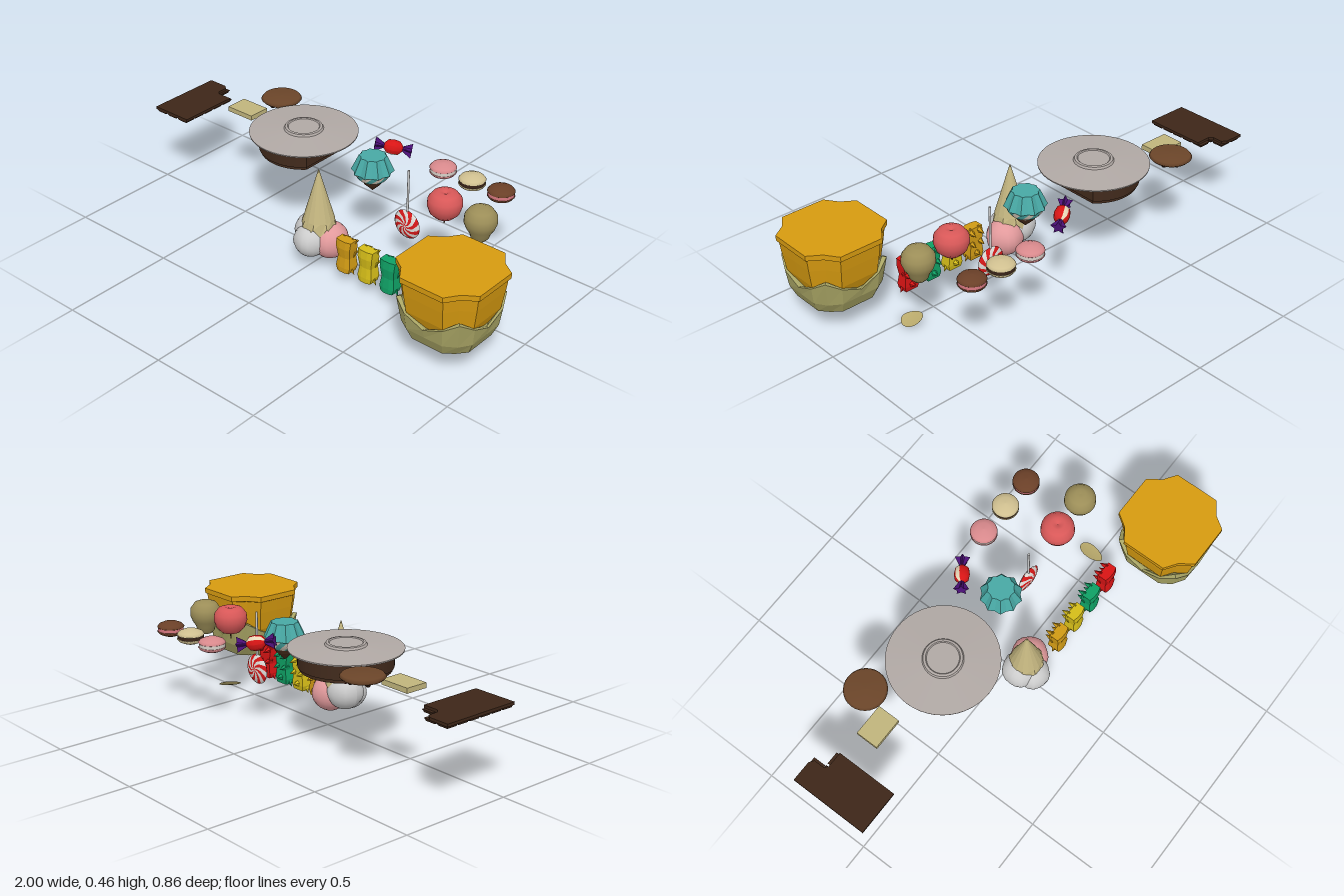
import * as THREE from 'three';

const V2 = (p) => p.map(([x, y]) => new THREE.Vector2(x, y));

function mesh(parent, name, geometry, color, pos = [0, 0, 0], flat = false, double = false) {
  const m = new THREE.Mesh(geometry, new THREE.MeshStandardMaterial({
    color, flatShading: flat, side: double ? THREE.DoubleSide : THREE.FrontSide }));
  m.name = name;
  m.position.set(...pos);
  parent.add(m);
  return m;
}

function group(parent, name, pos) {
  const g = new THREE.Group();
  g.name = name;
  g.position.set(...pos);
  parent.add(g);
  return g;
}

// Closed skin over rings of [x, y, z] points, listed from the bottom up
function loft(rings) {
  const n = rings[0].length, pos = [], index = [];
  rings.forEach((r) => r.forEach((p) => pos.push(...p)));
  for (let i = 0; i < rings.length - 1; i++) for (let j = 0; j < n; j++) {
    const a = i * n + j, b = i * n + (j + 1) % n;
    index.push(a, a + n, b, b, a + n, b + n);
  }
  for (const [k, up] of [[0, false], [rings.length - 1, true]]) {
    const c = pos.length / 3;
    pos.push(...[0, 1, 2].map((d) => rings[k].reduce((s, p) => s + p[d], 0) / n));
    for (let j = 0; j < n; j++) {
      const a = k * n + j, b = k * n + (j + 1) % n;
      index.push(c, up ? b : a, up ? a : b);
    }
  }
  const g = new THREE.BufferGeometry();
  g.setAttribute('position', new THREE.Float32BufferAttribute(pos, 3));
  g.setIndex(index);
  g.computeVertexNormals();
  return g;
}

const ring = (n, radius, y) => Array.from({ length: n }, (_, j) => {
  const a = j / n * Math.PI * 2, r = typeof radius === 'function' ? radius(j) : radius;
  return [Math.cos(a) * r, typeof y === 'function' ? y(j) : y, Math.sin(a) * r];
});

// Lathe cut into slices of alternating colour, twisted by a rule of x, y, z
function swirl(parent, name, profile, count, colors, twist) {
  for (let k = 0; k < count; k++) {
    const g = new THREE.LatheGeometry(V2(profile), 2, k / count * Math.PI * 2, Math.PI * 2 / count);
    const p = g.attributes.position, v = new THREE.Vector3();
    for (let i = 0; i < p.count; i++) {
      v.fromBufferAttribute(p, i);
      v.applyAxisAngle(new THREE.Vector3(0, 1, 0), twist(Math.hypot(v.x, v.z), v.y));
      p.setXYZ(i, v.x, v.y, v.z);
    }
    g.computeVertexNormals();
    mesh(parent, name, g, colors[k % colors.length]);
  }
}

function sector(radius, depth, open) {
  const s = new THREE.Shape();
  s.moveTo(0, 0);
  s.absarc(0, 0, radius, open, Math.PI * 2 - open, false);
  s.closePath();
  return new THREE.ExtrudeGeometry(s, { depth, bevelEnabled: false, curveSegments: 32 }).rotateX(Math.PI / 2);
}

function chocolateBar(root) {
  const g = group(root, 'chocolateBar', [0, 0, 0]);
  const s = new THREE.Shape(V2([[-1, 0.04], [-1, -0.31], [-0.91, -0.31], [-0.89, -0.295], [-0.89, -0.25],
    [-0.875, -0.235], [-0.805, -0.235], [-0.805, 0.04]]));
  mesh(g, 'slab', new THREE.ExtrudeGeometry(s, { depth: 0.012, bevelEnabled: false }).rotateX(Math.PI / 2),
    0x3d2618, [0, 0.38, 0], true);
  // Raised squares on the underside
  for (let i = 0; i < 3; i++) for (let j = 0; j < 6; j++) {
    const x = -0.968 + i * 0.065, z = 0.011 - j * 0.058;
    if (j === 5 && i === 2 || (j === 4 && i === 2 && z < -0.235)) continue;
    const b = new THREE.CylinderGeometry(0.04, 0.032, 0.012, 4).rotateY(Math.PI / 4);
    mesh(g, 'square', b, 0x3d2618, [i === 1 && j === 5 ? x - 0.004 : x, 0.363, z], true);
  }
}

function cake(root) {
  const g = group(root, 'cake', [-0.265, 0, -0.135]);
  mesh(g, 'plate', new THREE.LatheGeometry(V2([[0, 0.428], [0.17, 0.43], [0.233, 0.443], [0.234, 0.449],
    [0.085, 0.46], [0.08, 0.469], [0.07, 0.471], [0.066, 0.467], [0, 0.467]]), 48), 0xb0a8a4, [0, 0, 0], true);
  mesh(g, 'sponge', sector(0.193, 0.058, Math.PI / 4), 0x412a1c, [0, 0.432, 0]);
  mesh(g, 'icing', sector(0.186, 0.016, Math.PI / 4), 0x412a1c, [0, 0.376, 0]);
  mesh(g, 'cream', sector(0.182, 0.02, Math.PI / 4 - 0.012), 0xe8dcc0, [0, 0.41, 0]);
  for (let k = 0; k < 10; k++) {
    const a = Math.PI / 4 + 0.14 + k / 9 * (Math.PI * 1.5 - 0.28);
    mesh(g, 'berry', new THREE.SphereGeometry(0.013, 10, 8), 0xd01515,
      [Math.cos(a) * 0.15, 0.36, Math.sin(a) * 0.15]);
  }
}

function cookieAndWafer(root) {
  const g = group(root, 'cookie', [-0.55, 0.437, -0.305]);
  mesh(g, 'biscuit', new THREE.LatheGeometry(V2([[0, -0.017], [0.05, -0.014], [0.08, -0.006], [0.09, 0.004],
    [0.082, 0.014], [0, 0.017]]), 28), 0x6b4529);
  [[0, 0], [0.04, 0.03], [-0.04, 0.035], [-0.05, -0.02], [0.015, -0.05], [0.055, -0.015], [0, 0.058]].forEach(([x, z]) =>
    mesh(g, 'chip', new THREE.SphereGeometry(0.012, 8, 6), 0x2c1a10, [x, -0.012, z], true));
  const w = group(root, 'wafer', [-0.636, 0.405, -0.175]);
  mesh(w, 'base', new THREE.BoxGeometry(0.14, 0.012, 0.1), 0xc0b47c, [0, 0.004, 0], true);
  for (const s of [-1, 1]) {
    mesh(w, 'longEdge', new THREE.BoxGeometry(0.14, 0.012, 0.012), 0xc0b47c, [0, -0.006, s * 0.044]);
    mesh(w, 'shortEdge', new THREE.BoxGeometry(0.012, 0.012, 0.1), 0xc0b47c, [s * 0.064, -0.006, 0]);
  }
}

function iceCream(root) {
  const g = group(root, 'iceCream', [0, 0, 0]);
  const cone = loft([ring(16, 0.075, (j) => 0.17 + (j % 2) * 0.03), ring(16, 0.066, 0.225), ring(16, 0.002, 0.45)]);
  mesh(g, 'cone', cone, 0xc4b680, [0.008, 0, 0.08], true);
  [[-0.025, 0.15, 0.075, 0.078, 0xc4c4c4], [0, 0.13, 0.122, 0.072, 0xc4c4c4], [0.055, 0.127, 0.063, 0.08, 0xe29a9c]]
    .forEach(([x, y, z, r, color]) => {
      const s = new THREE.SphereGeometry(r, 18, 14), p = s.attributes.position;
      for (let i = 0; i < p.count; i++) {
        const a = Math.atan2(p.getZ(i), p.getX(i)), k = 1 + 0.035 * Math.cos(5 * a) * (1 - Math.abs(p.getY(i)) / r);
        p.setXYZ(i, p.getX(i) * k, p.getY(i), p.getZ(i) * k);
      }
      s.computeVertexNormals();
      mesh(g, 'scoop', s, color, [x, y, z]);
    });
}

function twistedSweets(root) {
  // Wrapped candy
  const c = group(root, 'wrappedCandy', [0.083, 0.418, -0.312]);
  c.quaternion.setFromUnitVectors(new THREE.Vector3(0, 1, 0), new THREE.Vector3(0.11, -0.025, -0.08).normalize());
  swirl(c, 'candyStripe', [[0.012, -0.04], [0.029, -0.025], [0.033, 0], [0.029, 0.025], [0.012, 0.04]],
    10, [0xd81515, 0xd81515, 0xe8d8b8, 0xd81515, 0xd81515], () => 0);
  for (const s of [-1, 1]) {
    const fan = loft([ring(10, 0.008, 0), ring(10, (j) => j % 2 ? 0.016 : 0.034, 0.045)]);
    const m = mesh(c, 'wrapperEnd', fan, 0x4c1078, [0, s * 0.034, 0], true);
    if (s < 0) m.rotation.x = Math.PI;
  }
  // Lollipop
  const l = group(root, 'lollipop', [0.305, 0.21, -0.134]);
  mesh(l, 'stick', new THREE.CylinderGeometry(0.005, 0.005, 0.22, 10), 0xc8c8c8, [0, 0.145, 0]);
  const head = group(l, 'head', [0, 0, 0]);
  head.rotation.x = Math.PI / 2;
  swirl(head, 'swirlStripe', [[0, -0.02], [0.02, -0.019], [0.04, -0.015], [0.058, -0.008], [0.066, 0],
    [0.058, 0.008], [0.04, 0.015], [0.02, 0.019], [0, 0.02]], 16, [0xd81818, 0xe0dcd8], (r) => r * 18);
  // Cupcake
  const k = group(root, 'cupcake', [0.117, 0, -0.135]);
  mesh(k, 'paperCase', loft([ring(20, (j) => j % 2 ? 0.08 : 0.091, 0.398), ring(20, (j) => j % 2 ? 0.052 : 0.059, 0.466)]),
    0x48a8a4, [0, 0, 0], true);
  swirl(k, 'frosting', [[0.045, 0.352], [0.06, 0.362], [0.074, 0.38], [0.08, 0.4]], 16, [0x48a8a4, 0xdcd0c0],
    (r, y) => (y - 0.35) * 14);
  mesh(k, 'chocolateTip', new THREE.LatheGeometry(V2([[0, 0.3], [0.018, 0.318], [0.036, 0.335], [0.05, 0.358],
    [0, 0.362]]), 12), 0x4a2e1c, [0, 0, 0], true);
}

function macarons(root) {
  [[0.305, 0xd8898c, 0xd8d0c8], [0.455, 0xd0c090, 0x3a2418], [0.6, 0x6b4028, 0xd87880]].forEach(([x, shell, fill]) => {
    const g = group(root, 'macaron', [x, 0.37, -0.37]);
    for (const s of [-1, 1]) {
      const m = mesh(g, 'shell', new THREE.LatheGeometry(V2([[0, 0.006], [0.054, 0.006], [0.058, 0.01], [0.05, 0.02],
        [0.03, 0.029], [0, 0.032]]), 24), shell);
      if (s < 0) m.rotation.x = Math.PI;
    }
    mesh(g, 'filling', new THREE.CylinderGeometry(0.055, 0.055, 0.014, 24), fill);
  });
}

function fruit(root) {
  const a = group(root, 'apple', [0.497, 0.385, -0.127]);
  mesh(a, 'appleBody', new THREE.LatheGeometry(V2([[0, -0.045], [0.018, -0.056], [0.04, -0.054], [0.062, -0.032],
    [0.073, 0], [0.07, 0.028], [0.052, 0.052], [0.028, 0.06], [0.012, 0.056], [0, 0.048]]), 24), 0xd85858);
  mesh(a, 'appleStem', new THREE.CylinderGeometry(0.004, 0.003, 0.045, 6), 0x4a3018, [0, -0.063, 0]);
  mesh(root, 'pear', new THREE.LatheGeometry(V2([[0, 0.284], [0.025, 0.288], [0.038, 0.302], [0.044, 0.322],
    [0.058, 0.344], [0.068, 0.37], [0.066, 0.4], [0.048, 0.426], [0.022, 0.436], [0, 0.434]]), 24), 0x9c8e58,
    [0.668, 0, -0.135]);
  // Curved leaf
  const leaf = new THREE.CircleGeometry(1, 24).rotateX(-Math.PI / 2), p = leaf.attributes.position;
  for (let i = 0; i < p.count; i++) {
    const x = p.getX(i) * (0.037 - 0.006 * p.getZ(i)), z = p.getZ(i) * 0.056;
    p.setXYZ(i, x, 0.026 - 0.5 * x - 0.25 * z + 4 * x * x + 2 * z * z, z);
  }
  leaf.computeVertexNormals();
  mesh(root, 'leaf', leaf, 0xc0b070, [0.637, 0, -0.03], false, true);
}

function gummyBears(root) {
  const rect = (w, z0, z1, y) => [[w, y, z0], [w, y, z1], [w * 0.4, y, z1 + 0.006], [-w * 0.4, y, z1 + 0.006],
    [-w, y, z1], [-w, y, z0]];
  [0xd09a14, 0xd4bc18, 0x0fa064, 0xd81414].forEach((color, i) => {
    const g = group(root, 'gummyBear', [0.19 + i * 0.115, 0, 0.11]);
    mesh(g, 'body', loft([rect(0.03, -0.018, 0.03, 0.062), rect(0.036, -0.022, 0.03, 0.085), rect(0.03, -0.02, 0.024, 0.13),
      rect(0.036, -0.02, 0.03, 0.175), rect(0.038, -0.014, 0.026, 0.21)]), color, [0, 0, 0], true);
    for (const s of [-1, 1]) {
      // Ears point down; paws point to the back
      const ear = mesh(g, 'ear', new THREE.ConeGeometry(0.016, 0.04, 5), color, [s * 0.031, 0.068, 0.006], true);
      ear.rotation.z = Math.PI + s * 0.6;
      for (const y of [0.14, 0.192]) {
        const paw = mesh(g, 'paw', new THREE.ConeGeometry(0.018, 0.045, 5), color, [s * 0.022, y, -0.026], true);
        paw.rotation.x = -Math.PI / 2 - 0.2;
      }
    }
    const nose = mesh(g, 'muzzle', new THREE.ConeGeometry(0.018, 0.03, 5), color, [0, 0.092, -0.03], true);
    nose.rotation.x = -Math.PI / 2;
  });
}

function bigCup(root) {
  const g = group(root, 'bigCup', [0.805, 0, 0.232]);
  // Octagon with pinched corners
  const oct = (R, y, pinch = 1) => Array.from({ length: 16 }, (_, j) => {
    const q = Math.floor(j / 4) * Math.PI / 2, k = j % 4;
    const a = q + [0, 0.47, Math.PI / 4, Math.PI / 2 - 0.47][k], r = R * [1, 1.12, pinch, 1.12][k];
    return [Math.cos(a) * r, typeof y === 'function' ? y(k) : y, Math.sin(a) * r];
  });
  mesh(g, 'filling', loft([oct(0.145, 0.19), oct(0.168, 0.25), oct(0.18, 0.33), oct(0.186, 0.383), oct(0.195, 0.387),
    oct(0.195, 0.41)]), 0xd69a10, [0, 0, 0], true);
  const zig = (k) => [0.208, 0.245, 0.282, 0.245][k];
  mesh(g, 'zigzagCase', loft([oct(0.06, 0.088, 1.06), oct(0.142, 0.118, 1.1), oct(0.165, 0.17, 1.14),
    oct(0.175, zig, 1.2), oct(0.165, zig, 1.15), oct(0.135, 0.2)]), 0xa8a464, [0, 0, 0], true);
}

export function createModel() {
  const root = new THREE.Group();
  root.name = 'sweets';
  [chocolateBar, cake, cookieAndWafer, iceCream, twistedSweets, macarons, fruit, gummyBears, bigCup].forEach((f) => f(root));
  return root;
}
